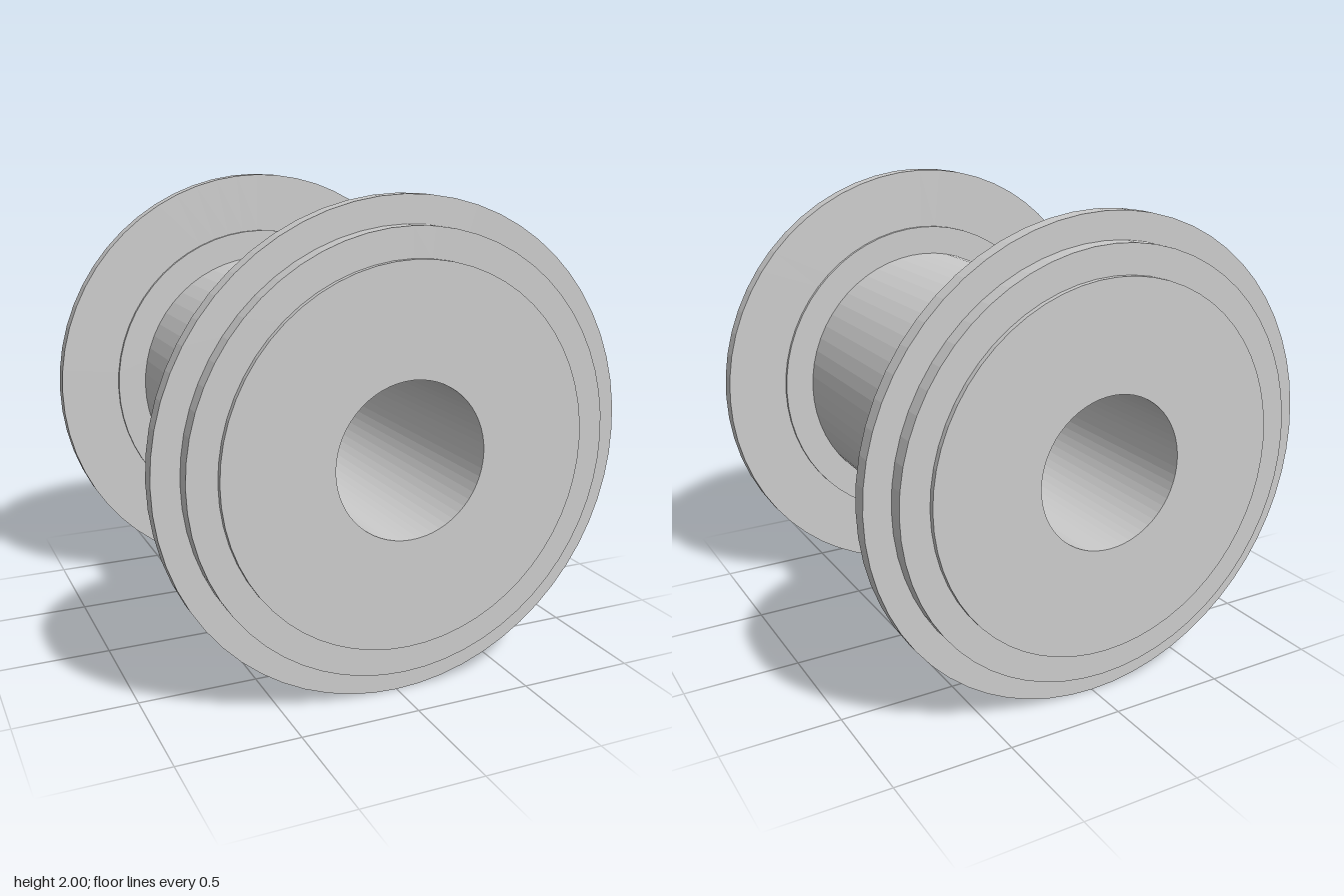
import * as THREE from 'three';

const SIDES = 60;
const BORE = 0.318;

// Revolve a profile of [radius, z] points around the z axis.
function revolve(name, profile, material) {
  const points = profile.map(([r, z]) => new THREE.Vector2(r, z));
  const geometry = new THREE.LatheGeometry(points, SIDES);
  geometry.rotateX(Math.PI / 2);
  const mesh = new THREE.Mesh(geometry, material);
  mesh.name = name;
  return mesh;
}

export function createModel() {
  const material = new THREE.MeshStandardMaterial({ color: 0xcccccc, flatShading: true });
  const spool = new THREE.Group();
  spool.name = 'spool';

  // Barrel and the through bore
  spool.add(revolve('barrel', [[0.6, -0.73], [0.6, 0.73]], material));
  spool.add(revolve('bore', [[BORE, 0.9], [BORE, -0.9]], material));

  // Stepped flange: inner lip, wide rim, then two smaller steps outward
  const flangeProfile = [
    [0.6, 0.73], [0.73, 0.73], [0.73, 0.745],
    [1.0, 0.745], [1.0, 0.81],
    [0.89, 0.81], [0.89, 0.877],
    [0.77, 0.877], [0.77, 0.9],
    [BORE, 0.9],
  ];
  const frontFlange = revolve('frontFlange', flangeProfile, material);
  const backFlange = revolve('backFlange', flangeProfile, material);
  backFlange.rotation.y = Math.PI;
  spool.add(frontFlange, backFlange);

  spool.position.y = 1;
  const model = new THREE.Group();
  model.add(spool);
  return model;
}
